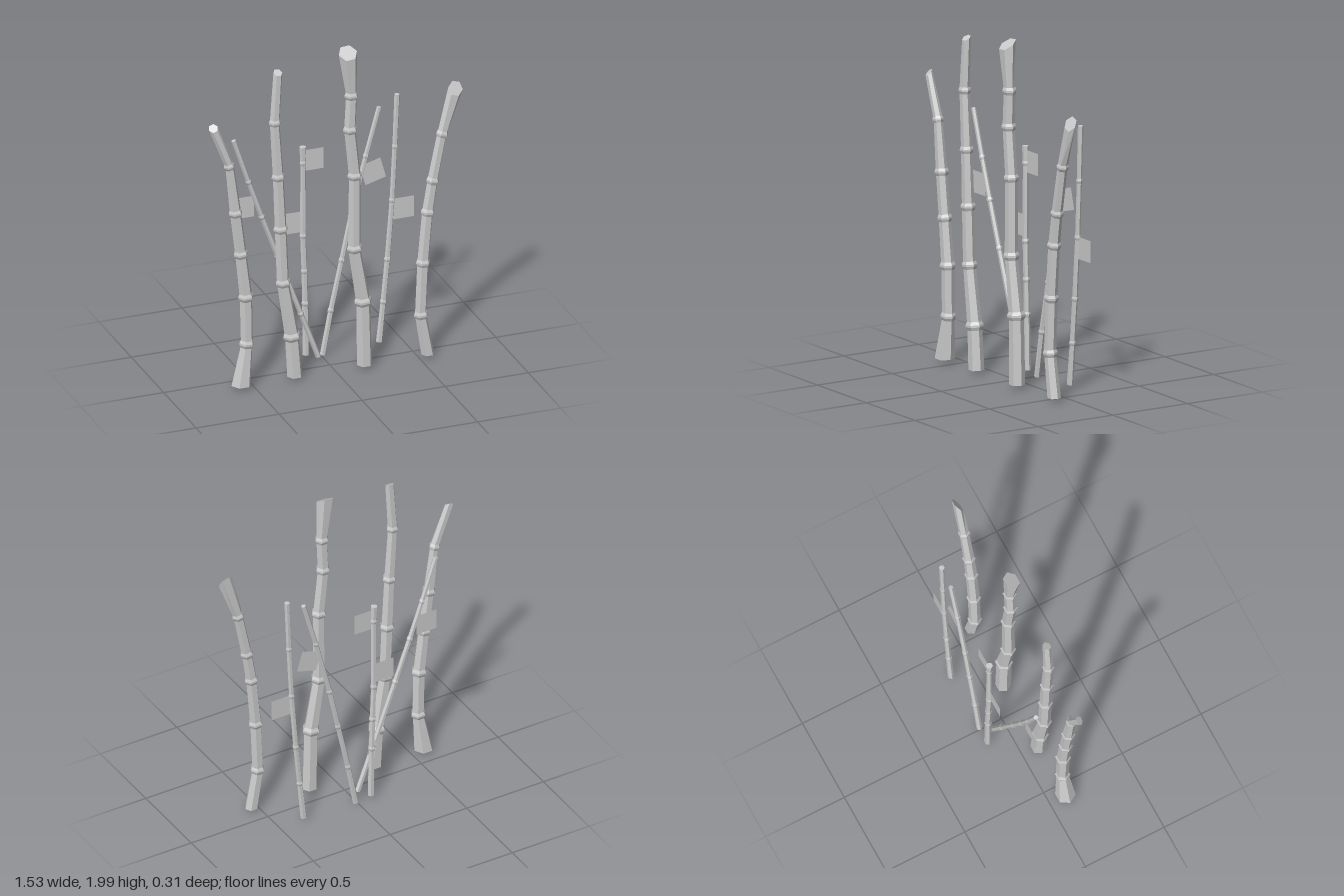
import * as THREE from 'three';

const SIDES = 6;
const material = new THREE.MeshStandardMaterial({ color: 0xcccccc, flatShading: true });
const leafMaterial = new THREE.MeshStandardMaterial({ color: 0xcccccc, side: THREE.DoubleSide });

// Six-sided cane through [x, y, radius] points, with a swollen joint at every inner point.
// capTilt leans the cut top towards the front.
function caneGeometry(points, z, capTilt, levelBase) {
  const last = points.length - 1;
  const rings = [];
  const dir = (a, b) => new THREE.Vector2(b[0] - a[0], b[1] - a[1]).normalize();
  points.forEach(([x, y, r], i) => {
    const t = new THREE.Vector2();
    if (i > 0) t.add(dir(points[i - 1], points[i]));
    if (i < last) t.add(dir(points[i], points[i + 1]));
    if (i === 0 && levelBase) t.set(0, 1);
    t.normalize();
    if (i === 0 || i === last) {
      rings.push({ x, y, r, t, tilt: i === last ? capTilt : 0 });
      return;
    }
    const h = 0.008 + r * 0.4;
    for (const [k, s] of [[-1, 1], [-0.25, 1.22], [0.25, 1.22], [1, 1]]) {
      rings.push({ x: x + t.x * h * k, y: y + t.y * h * k, r: r * s, t, tilt: 0 });
    }
  });

  const positions = [];
  const index = [];
  for (const { x, y, r, t, tilt } of rings) {
    for (let s = 0; s < SIDES; s++) {
      const a = (s / SIDES) * Math.PI * 2;
      const u = Math.cos(a) * r;
      const v = Math.sin(a) * r;
      const drop = v * Math.sin(tilt);
      positions.push(x + t.y * u - t.x * drop, y - t.x * u - t.y * drop, z + v * Math.cos(tilt));
    }
  }
  for (let k = 0; k < rings.length - 1; k++) {
    for (let s = 0; s < SIDES; s++) {
      const a = k * SIDES + s;
      const b = k * SIDES + ((s + 1) % SIDES);
      index.push(a, a + SIDES, b, b, a + SIDES, b + SIDES);
    }
  }
  // End caps
  const top = (rings.length - 1) * SIDES;
  for (let s = 1; s < SIDES - 1; s++) {
    index.push(0, s, s + 1, top, top + s + 1, top + s);
  }
  const indexed = new THREE.BufferGeometry();
  indexed.setAttribute('position', new THREE.Float32BufferAttribute(positions, 3));
  indexed.setIndex(index);
  const geometry = indexed.toNonIndexed();
  geometry.computeVertexNormals();
  return geometry;
}

// Thick canes in the front row
const THICK = [
  { name: 'thickCaneFarRight', tilt: 0.75, points: [
    [-0.573, 0.03, 0.058], [-0.54, 0.28, 0.036], [-0.545, 0.57, 0.037], [-0.575, 0.84, 0.034],
    [-0.607, 1.1, 0.033], [-0.645, 1.395, 0.026], [-0.74, 1.645, 0.027]] },
  { name: 'thickCaneRight', tilt: 0.5, points: [
    [-0.25, 0.03, 0.045], [-0.268, 0.28, 0.042], [-0.32, 0.62, 0.036], [-0.335, 0.955, 0.035],
    [-0.35, 1.28, 0.032], [-0.37, 1.62, 0.029], [-0.352, 1.925, 0.027]] },
  { name: 'thickCaneLeft', tilt: 0.56, points: [
    [0.17, 0.03, 0.045], [0.16, 0.425, 0.042], [0.11, 0.76, 0.037], [0.11, 1.21, 0.035],
    [0.083, 1.5, 0.034], [0.09, 1.71, 0.033], [0.07, 1.974, 0.055]] },
  { name: 'thickCaneFarLeft', tilt: 1.05, points: [
    [0.55, 0.03, 0.038], [0.51, 0.28, 0.034], [0.522, 0.6, 0.034], [0.55, 0.91, 0.033],
    [0.58, 1.1, 0.031], [0.637, 1.38, 0.029], [0.718, 1.645, 0.046]] },
];

// Thin canes in the back rows
const THIN = [
  { name: 'thinCaneLeaningRight', z: -0.075, points: [
    [-0.04, 0.035, 0.016], [-0.145, 0.32, 0.015], [-0.285, 0.7, 0.015], [-0.38, 0.96, 0.015],
    [-0.46, 1.19, 0.014], [-0.55, 1.46, 0.014]] },
  { name: 'thinCaneLeaningLeft', z: -0.137, points: [
    [0.01, 0.012, 0.017], [0.06, 0.28, 0.016], [0.125, 0.58, 0.015], [0.18, 0.84, 0.015],
    [0.27, 1.2, 0.014], [0.35, 1.49, 0.014]] },
  { name: 'thinCaneUpright', z: -0.137, points: [
    [-0.09, 0.03, 0.02], [-0.095, 0.35, 0.018], [-0.1, 0.55, 0.017], [-0.108, 0.77, 0.017],
    [-0.108, 1.22, 0.016], [-0.11, 1.32, 0.02]] },
  { name: 'thinCaneFarLeft', z: -0.137, points: [
    [0.35, 0.035, 0.019], [0.375, 0.28, 0.016], [0.4, 0.54, 0.016], [0.428, 0.9, 0.015],
    [0.445, 1.23, 0.015], [0.458, 1.55, 0.016]] },
];

// Flat square leaves: centre x, centre y, z, turn
const LEAVES = [
  [-0.49, 1.035, -0.075, 0],
  [-0.175, 0.857, -0.137, 0],
  [-0.047, 1.233, -0.137, 0],
  [0.313, 1.096, -0.137, 0.27],
  [0.495, 0.841, -0.137, 0],
];

export function createModel() {
  const group = new THREE.Group();
  group.name = 'canes';
  for (const { name, tilt, points } of THICK) {
    const mesh = new THREE.Mesh(caneGeometry(points, 0.1, tilt, true), material);
    mesh.name = name;
    group.add(mesh);
  }
  for (const { name, z, points } of THIN) {
    const mesh = new THREE.Mesh(caneGeometry(points, z, 0, false), material);
    mesh.name = name;
    group.add(mesh);
  }
  LEAVES.forEach(([x, y, z, turn], i) => {
    const leaf = new THREE.Mesh(new THREE.PlaneGeometry(0.128, 0.128), leafMaterial);
    leaf.position.set(x, y, z);
    leaf.rotation.z = turn;
    leaf.name = `leaf${i + 1}`;
    group.add(leaf);
  });
  return group;
}
